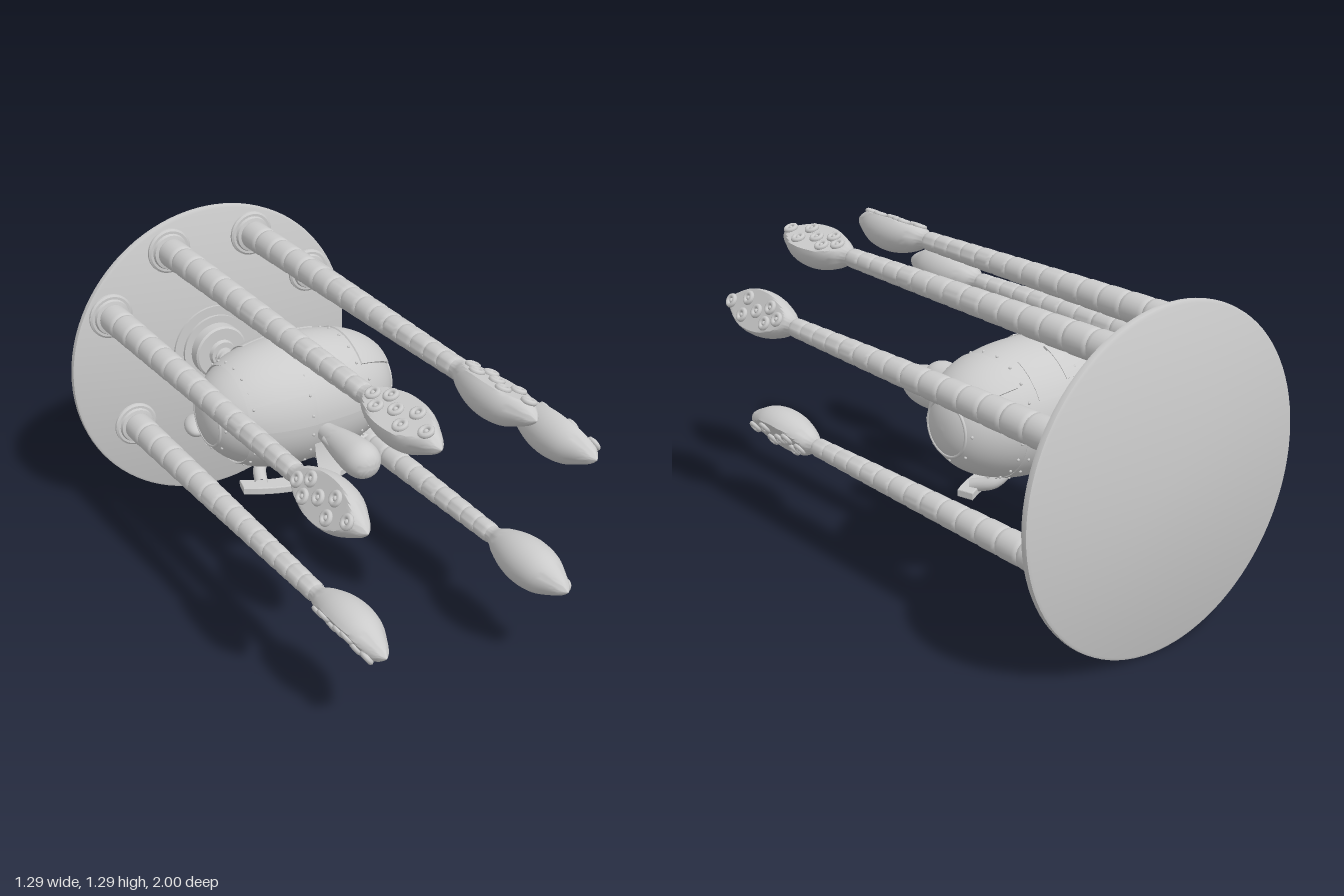
import * as THREE from 'three';
import { toCreasedNormals } from 'three/addons/utils/BufferGeometryUtils.js';

const grey = new THREE.MeshStandardMaterial({ color: 0xcccccc });
const thin = new THREE.MeshStandardMaterial({ color: 0xcccccc, side: THREE.DoubleSide });
const V = (x, y, z) => new THREE.Vector3(x, y, z);

function add(parent, name, geometry, x = 0, y = 0, z = 0, material = grey) {
  const mesh = new THREE.Mesh(geometry, material);
  mesh.name = name;
  mesh.position.set(x, y, z);
  parent.add(mesh);
  return mesh;
}

// Turned shape along z from [z, radius] pairs listed in rising z
function turned(pairs, sides = 32, crease = 0.6) {
  const g = new THREE.LatheGeometry(pairs.map(([z, r]) => new THREE.Vector2(r, z)), sides);
  return toCreasedNormals(g.rotateX(Math.PI / 2), crease);
}

// Body: a plump barrel lying along x; a = 0 faces front, a = PI/2 faces up
const BODY = V(0, 0.73, -0.28), HALF = 0.41, RAD = 0.252, POW = 2.3;
const bodyRadius = x => RAD * Math.pow(Math.max(0, 1 - Math.pow(Math.abs(x) / HALF, POW)), 1 / POW);
function onBody(x, a, scale = 1) {
  const r = bodyRadius(x);
  return V(x, r * Math.sin(a), r * Math.cos(a)).multiplyScalar(scale).add(BODY);
}

// Curved plate wrapped over the body
function plate(x0, x1, a0, a1, scale) {
  const g = new THREE.BoxGeometry(1, 1, 1, 14, Math.ceil((a1 - a0) * 9) + 2, 1);
  const p = g.attributes.position;
  for (let i = 0; i < p.count; i++) {
    const q = onBody(x0 + (p.getX(i) + 0.5) * (x1 - x0), a0 + (p.getY(i) + 0.5) * (a1 - a0),
      p.getZ(i) > 0 ? scale : 0.97);
    p.setXYZ(i, q.x, q.y, q.z);
  }
  g.computeVertexNormals();
  return g;
}

function makeTentacle(x, y) {
  const t = new THREE.Group();
  t.name = 'tentacle';
  t.position.set(x, y, 0);
  // the sucker side (local +y) points away from the disc centre
  t.rotation.z = Math.atan2(y - 0.65, x) - Math.PI / 2;

  add(t, 'tentacleFlange', turned([[-0.97, 0.094], [-0.958, 0.094], [-0.952, 0.086], [-0.952, 0.076],
    [-0.94, 0.072], [-0.935, 0.05]]));

  // Rounded segments that shrink towards the tip
  const profile = [], count = 15;
  let z = -0.95;
  for (let i = 0; i < count; i++) {
    const k = i / (count - 1), len = 0.12 - 0.042 * k, r = 0.06 - 0.021 * k;
    profile.push([z, r * 0.88], [z + 0.006, r * 0.97], [z + 0.02, r], [z + len - 0.02, r],
      [z + len - 0.006, r * 0.97], [z + len, r * 0.88]);
    z += len;
  }
  add(t, 'tentacleSegments', turned(profile, 28, 0.8));

  // Spoon-shaped end, cut flat on the sucker side
  const curve = new THREE.SplineCurve([[0.51, 0.033], [0.56, 0.037], [0.61, 0.06], [0.69, 0.084],
    [0.77, 0.092], [0.85, 0.082], [0.92, 0.053], [0.97, 0.027], [1, 0]]
    .map(([a, r]) => new THREE.Vector2(a, r)));
  const paddle = turned(curve.getPoints(32).map(p => [p.x, Math.max(0, p.y)]), 40);
  const pos = paddle.attributes.position;
  for (let i = 0; i < pos.count; i++) pos.setY(i, Math.min(pos.getY(i), 0.04));
  add(t, 'paddle', toCreasedNormals(paddle, 0.5));

  for (const [sx, sz] of [[0, 0.61], [-0.033, 0.675], [0.033, 0.675], [0, 0.75],
    [-0.036, 0.83], [0.036, 0.83], [0, 0.93]]) {
    add(t, 'sucker', new THREE.TorusGeometry(0.02, 0.01, 8, 20).rotateX(Math.PI / 2), sx, 0.044, sz);
    add(t, 'suckerCore', new THREE.SphereGeometry(0.01, 10, 6), sx, 0.043, sz);
  }
  return t;
}

export function createModel() {
  const model = new THREE.Group();

  // Back disc with a rounded rim
  add(model, 'backDisc', turned([[-1, 0], [-1, 0.635], [-0.995, 0.645], [-0.983, 0.647],
    [-0.972, 0.645], [-0.967, 0.635], [-0.967, 0]], 96, 0.5), 0, 0.647, 0);

  for (const [x, y] of [[0.19, 1.145], [0.465, 0.918], [0.385, 0.4]])
    for (const s of [-1, 1]) model.add(makeTentacle(s * x, y));

  // Body shell
  const shell = [];
  for (let i = 0; i <= 48; i++) {
    const u = Math.PI * i / 48, x = -HALF * Math.cos(u);
    shell.push(new THREE.Vector2(i % 48 ? bodyRadius(x) : 0, x));
  }
  add(model, 'body', new THREE.LatheGeometry(shell, 56).rotateZ(-Math.PI / 2), BODY.x, BODY.y, BODY.z);

  // Overlapping plates
  const TAU = Math.PI * 2;
  for (const p of [[-0.295, -0.04, 0, TAU, 1.022], [-0.04, 0.2, 0, TAU, 1.01],
    [0.2, 0.36, 0.75, 2.4, 1.03], [-0.18, 0, 1.9, 2.5, 1.04], [-0.07, 0.14, 2.0, 2.7, 1.03],
    [-0.28, -0.04, 0.5, 1.05, 1.04], [0.04, 0.23, -1.25, -0.8, 1.06], [-0.36, -0.2, 3.3, 4.4, 1.03]])
    add(model, 'bodyPlate', plate(...p));

  // Rivets along the seams
  const rivet = new THREE.SphereGeometry(0.006, 8, 6);
  for (const [x, s] of [[-0.275, 1.024], [-0.06, 1.024], [0.18, 1.012], [0.22, 1.005]])
    for (let i = 0; i < 20; i++) {
      const q = onBody(x, TAU * (i + 0.5) / 20, s);
      add(model, 'rivet', rivet, q.x, q.y, q.z);
    }
  // Round end caps
  for (const s of [-1, 1]) {
    const ring = new THREE.TorusGeometry(bodyRadius(0.385), 0.006, 8, 40).rotateY(Math.PI / 2);
    add(model, 'endCapRing', ring, s * 0.385, BODY.y, BODY.z);
    for (let i = 0; i < 8; i++) {
      const q = onBody(s * 0.372, TAU * i / 8);
      add(model, 'rivet', rivet, q.x, q.y, q.z);
    }
  }

  // Snout: a club widening to a round front
  const snout = new THREE.SplineCurve([[-0.06, 0.035], [0, 0.043], [0.08, 0.058], [0.17, 0.07],
    [0.24, 0.07], [0.285, 0.045], [0.303, 0]].map(([z, r]) => new THREE.Vector2(z, r)));
  add(model, 'snout', turned(snout.getPoints(28).map(p => [p.x, Math.max(0, p.y)]), 32, 1),
    -0.004, 0.685, 0);
  for (const s of [-1, 1]) {
    const rib = add(model, 'snoutRib', new THREE.CapsuleGeometry(0.016, 0.19, 6, 12).rotateX(Math.PI / 2),
      s * 0.05, 0.69, 0.125);
    rib.rotation.y = s * 0.08;
  }

  // Tongue: thin strip curling forward, rounded at the lower end
  const tongue = new THREE.PlaneGeometry(1, 1, 10, 16);
  const tp = tongue.attributes.position;
  for (let i = 0; i < tp.count; i++) {
    const k = 0.5 - tp.getY(i);
    const w = 0.096 * Math.sqrt(1 - Math.pow(Math.max(0, (k - 0.72) / 0.285), 2));
    tp.setXYZ(i, tp.getX(i) * w, 0.64 - 0.16 * k, -0.04 + 0.012 * k + 0.042 * k * k);
  }
  tongue.computeVertexNormals();
  add(model, 'tongue', tongue, 0, 0, 0, thin);

  // Jaw: shallow crescent bar below the body
  const crescent = new THREE.Shape();
  crescent.moveTo(-0.275, 0.2);
  crescent.quadraticCurveTo(0, 0.02, 0.265, 0.2);
  crescent.lineTo(0.25, 0.26);
  crescent.quadraticCurveTo(0, 0.1, -0.26, 0.26);
  crescent.closePath();
  add(model, 'jaw', new THREE.ExtrudeGeometry(crescent, { depth: 0.022, bevelSize: 0.004,
    bevelThickness: 0.004, bevelSegments: 2, curveSegments: 24 }).rotateX(-Math.PI / 2), 0, 0.407, 0);

  // Neck block, ribbed hose and wall mount
  add(model, 'neck', turned([[-0.64, 0], [-0.64, 0.1], [-0.63, 0.108], [-0.53, 0.135], [-0.47, 0.145]]),
    0, 0.64, 0);
  const hose = [];
  for (let i = 0; i < 9; i++) {
    const z = -0.89 + i * 0.028;
    hose.push([z, 0.032], [z + 0.004, 0.041], [z + 0.02, 0.041], [z + 0.024, 0.032]);
  }
  add(model, 'hose', turned(hose, 28), 0, 0.655, 0);
  add(model, 'wallMount', turned([[-0.97, 0.19], [-0.957, 0.19], [-0.957, 0.15], [-0.945, 0.15],
    [-0.945, 0.118], [-0.9, 0.118], [-0.893, 0.11], [-0.893, 0.06], [-0.875, 0.055], [-0.875, 0]], 40),
    0, 0.665, 0);

  // Three rear lobes on curved stems
  const centreLobe = add(model, 'rearLobe', new THREE.SphereGeometry(1, 28, 18), 0, 0.352, -0.67);
  centreLobe.scale.set(0.07, 0.062, 0.12);
  centreLobe.rotation.x = -0.15;
  const stem = (...pts) => new THREE.TubeGeometry(new THREE.CatmullRomCurve3(pts), 20, 0.026, 14);
  add(model, 'rearStem', stem(V(0, 0.56, -0.45), V(0, 0.46, -0.5), V(0, 0.38, -0.6)));
  for (const s of [-1, 1]) {
    add(model, 'rearStem', stem(V(s * 0.03, 0.5, -0.42), V(s * 0.09, 0.46, -0.56),
      V(s * 0.16, 0.46, -0.67), V(s * 0.25, 0.48, -0.69)));
    const lobe = add(model, 'rearLobe', new THREE.SphereGeometry(1, 24, 16), s * 0.245, 0.482, -0.68);
    lobe.scale.set(0.045, 0.035, 0.08);
    lobe.rotation.y = s * 0.35;
    add(model, 'neckStrut', new THREE.TubeGeometry(new THREE.LineCurve3(V(s * 0.07, 0.56, -0.56),
      V(s * 0.1, 0.46, -0.61)), 1, 0.01, 10));
    add(model, 'jawStrut', stem(V(s * 0.08, 0.52, -0.3), V(s * 0.16, 0.46, -0.28), V(s * 0.2, 0.43, -0.2)));
  }
  return model;
}
